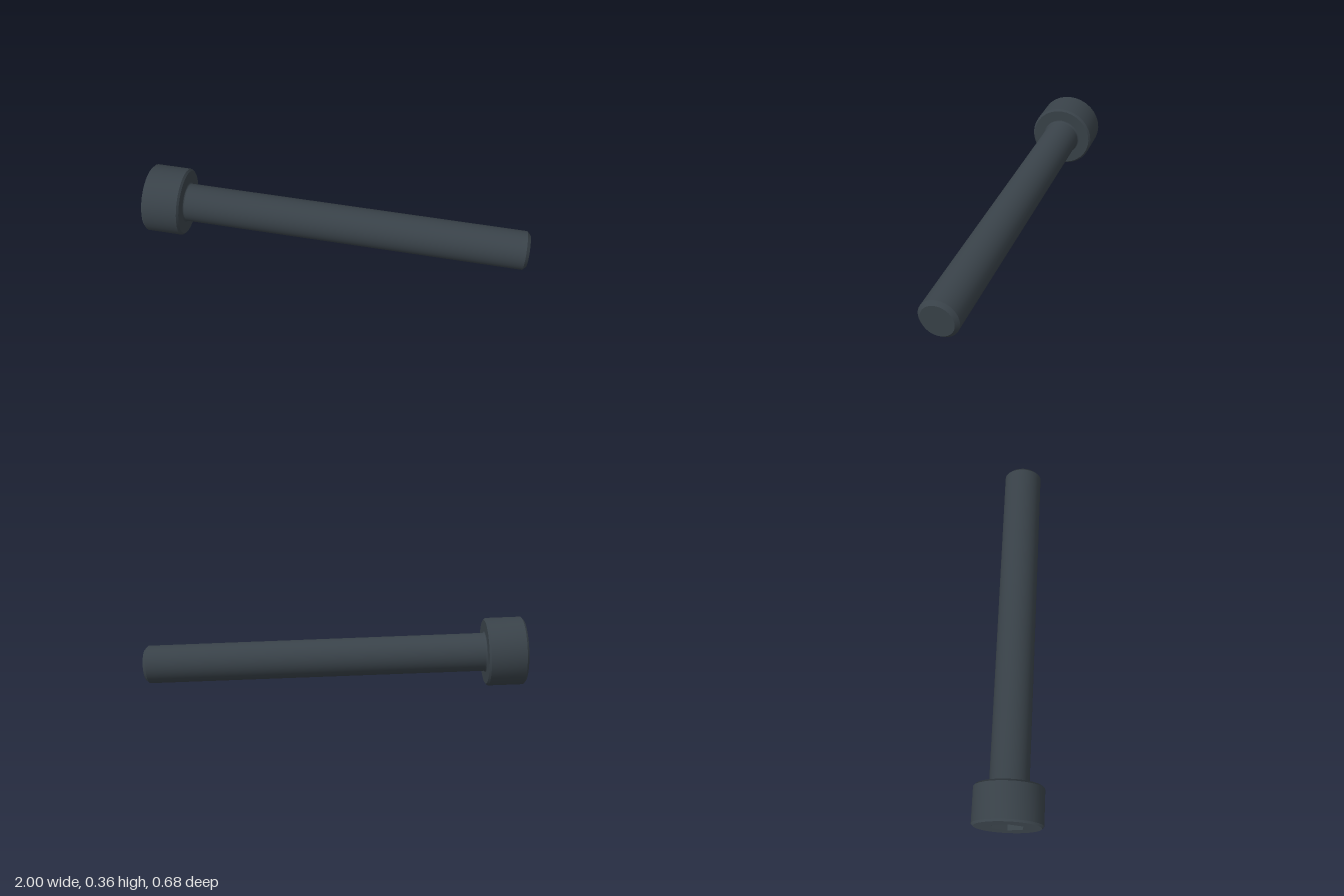
import * as THREE from 'three';
import { toCreasedNormals } from 'three/addons/utils/BufferGeometryUtils.js';

const SIDES = 32;
const SHAFT = { radius: 0.1, length: 1.79, chamfer: 0.0175, fillet: 0.008 };
const HEAD = { radius: 0.178, length: 0.2, chamfer: 0.01 };
const SOCKET = { radius: 0.089, depth: 0.1 };

// Points of a regular polygon
function polygon(radius, sides, start = 0) {
  return Array.from({ length: sides }, (_, i) => {
    const a = start + (i / sides) * Math.PI * 2;
    return new THREE.Vector2(Math.cos(a) * radius, Math.sin(a) * radius);
  });
}

// Turned surface: smooth around, sharp at the chamfers
function turned(profile) {
  const points = profile.map(([r, y]) => new THREE.Vector2(r, y));
  return toCreasedNormals(new THREE.LatheGeometry(points, SIDES), 0.5);
}

export function createModel() {
  const steel = new THREE.MeshStandardMaterial({ color: 0x394249 });
  steel.name = 'dark steel';

  // The screw is built along y, tip at 0, head on top
  const screw = new THREE.Group();
  screw.name = 'socketScrew';
  const add = (name, geometry, y = 0) => {
    const mesh = new THREE.Mesh(geometry, steel);
    mesh.name = name;
    mesh.position.y = y;
    screw.add(mesh);
  };

  // Shaft with chamfered tip and a small fillet under the head
  const { radius: r, length, chamfer: c, fillet: f } = SHAFT;
  const fillet = [0, 1, 2, 3, 4].map((i) => {
    const a = (i / 4) * Math.PI / 2;
    return [r + f * (1 - Math.cos(a)), length - f + f * Math.sin(a)];
  });
  add('shaft', turned([[0, 0], [r - c, 0], [r, c], ...fillet]));

  // Head: underside, chamfers and side wall
  const { radius: R, length: H, chamfer: k } = HEAD;
  add('head', turned([[r + f, 0], [R - k, 0], [R, k], [R, H - k], [R - k, H]]), length);

  // Head face with hexagonal opening
  const face = new THREE.Shape(polygon(R - k, SIDES));
  face.holes.push(new THREE.Path(polygon(SOCKET.radius, 6, Math.PI / 2)));
  add('headFace', new THREE.ShapeGeometry(face).rotateX(-Math.PI / 2), length + H);

  // Socket walls face inward; the mirrored scale turns them round
  const walls = new THREE.CylinderGeometry(SOCKET.radius, SOCKET.radius, SOCKET.depth, 6, 1, true);
  add('socketWalls', toCreasedNormals(walls.scale(-1, 1, 1), 0.5), length + H - SOCKET.depth / 2);
  const floor = new THREE.CircleGeometry(SOCKET.radius, 6, Math.PI / 2);
  add('socketFloor', floor.rotateX(-Math.PI / 2), length + H - SOCKET.depth);

  // Lay the screw down, resting on head rim and tip
  const tip = new THREE.Vector3(0.982, 0.103, 0.2475);
  const headEnd = new THREE.Vector3(-0.963, 0.188, -0.167);
  const axis = headEnd.clone().sub(tip).normalize();
  const up = new THREE.Vector3(0, 1, 0).addScaledVector(axis, -axis.y).normalize();
  const side = new THREE.Vector3().crossVectors(axis, up);
  screw.quaternion.setFromRotationMatrix(new THREE.Matrix4().makeBasis(side, axis, up));
  screw.position.copy(tip);

  const model = new THREE.Group();
  model.name = 'model';
  model.add(screw);
  return model;
}
